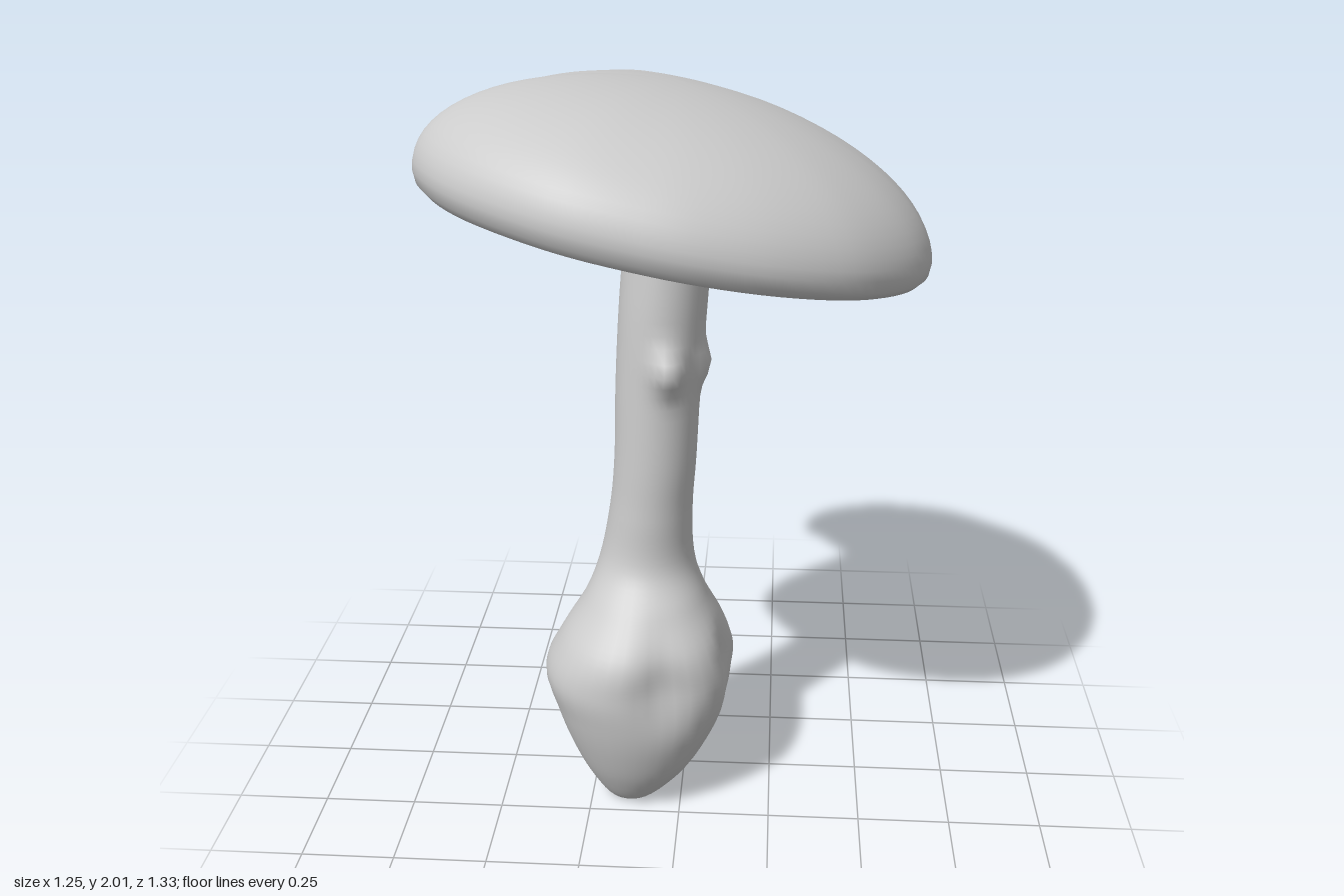
import * as THREE from 'three';

const material = new THREE.MeshStandardMaterial({ color: 0xcccccc, side: THREE.DoubleSide });

// Skin closed rings of points, ordered so that the surface faces outward
function loft(name, rings) {
  const n = rings[0].length, index = [];
  for (let i = 0; i < rings.length - 1; i++) {
    for (let j = 0; j < n; j++) {
      const k = (j + 1) % n;
      const a = i * n + j, b = a + n, c = (i + 1) * n + k, d = i * n + k;
      index.push(a, b, c, a, c, d);
    }
  }
  const geometry = new THREE.BufferGeometry().setFromPoints(rings.flat());
  geometry.setIndex(index);
  geometry.computeVertexNormals();
  const mesh = new THREE.Mesh(geometry, material);
  mesh.name = name;
  return mesh;
}

// Cap rim seen from above (x, z), with a bite taken out of one side
const RIM = [
  [0.625, 0], [0.62, 0.1], [0.58, 0.25], [0.5, 0.39], [0.4, 0.5], [0.24, 0.6], [0.08, 0.65], [-0.05, 0.66],
  [-0.22, 0.64], [-0.36, 0.58], [-0.5, 0.48], [-0.59, 0.36], [-0.63, 0.24], [-0.59, 0.12],
  [-0.48, 0], [-0.37, -0.1], [-0.33, -0.18], [-0.37, -0.29], [-0.4, -0.4], [-0.42, -0.47],
  [-0.4, -0.54], [-0.34, -0.59], [-0.21, -0.645], [-0.09, -0.665], [0.12, -0.65],
  [0.31, -0.56], [0.49, -0.42], [0.58, -0.25], [0.62, -0.1],
];

function makeCap() {
  const curve = new THREE.CatmullRomCurve3(RIM.map(([x, z]) => new THREE.Vector3(x, 0, z)), true);
  const rim = Array.from({ length: 112 }, (_, i) => curve.getPoint(i / 112));
  // Tilted rim plane, with the rear corner of the bite drooping
  const place = (p, s, h) => {
    const x = p.x * s, z = p.z * s;
    const droop = 0.03 * Math.exp(-((x + 0.42) ** 2 + (z + 0.48) ** 2) / 0.015);
    return new THREE.Vector3(x, 1.672 - 0.2 * x + 0.058 * z + h - droop, z);
  };
  // The rim rises where the bite cuts into the dome
  const lift = (r) => 0.28 * Math.max(0, 1 - r / 0.62);
  const dome = (r, s) => 0.305 * Math.sqrt(Math.max(0, 1 - (r * s / Math.max(r, 0.62)) ** 2));

  // Hollow underside and lip as [share of rim radius, height]
  const under = [[0, 0.06], [0.2, 0.05], [0.5, 0.015], [0.75, -0.025], [0.9, -0.05], [0.96, -0.05], [0.99, -0.03]];
  const rings = under.map(([s, h]) => rim.map((p) => place(p, s, h + lift(p.length()) * s ** 3)));
  for (let i = 0; i <= 20; i++) {
    const s = Math.cos((i / 20) * Math.PI / 2);
    rings.push(rim.map((p) => {
      const r = p.length();
      return place(p, s, dome(r, s) - (dome(r, 1) - lift(r)) * s ** 7);
    }));
  }
  return loft('cap', rings);
}

// Stem sections: height, min x, max x, min z, max z
const STEM = [
  [0, -0.16, -0.12, 0.12, 0.16], [0.01, -0.21, -0.07, 0.07, 0.21], [0.1, -0.27, 0.02, 0, 0.27],
  [0.2, -0.32, 0.085, -0.09, 0.31], [0.3, -0.355, 0.13, -0.15, 0.335], [0.4, -0.38, 0.15, -0.185, 0.345],
  [0.5, -0.335, 0.12, -0.16, 0.33], [0.6, -0.27, 0.065, -0.125, 0.25], [0.7, -0.23, 0.03, -0.1, 0.17],
  [0.85, -0.2, 0.025, -0.085, 0.16], [1, -0.185, 0.035, -0.08, 0.16], [1.2, -0.18, 0.045, -0.1, 0.155],
  [1.4, -0.17, 0.06, -0.12, 0.15], [1.6, -0.155, 0.075, -0.125, 0.135], [1.74, -0.15, 0.09, -0.13, 0.135],
];

// Local swellings and dents: angle, height, angular width, height width, amount
const LUMPS = [
  [1.3, 1.27, 0.35, 0.05, 0.05], [-1.3, 1.25, 0.3, 0.03, 0.04], [0.1, 1.26, 0.4, 0.05, 0.025],
  [1.25, 0.43, 0.3, 0.12, -0.04], [0.1, 0.41, 0.25, 0.09, -0.045],
  [-0.5, 0.1, 0.4, 0.06, -0.03], [-2.36, 0.4, 0.5, 0.2, -0.035],
  [2.36, 0.4, 0.5, 0.2, 0.012], [-0.785, 0.4, 0.4, 0.2, 0.02],
];

function makeStem() {
  const smooth = (lo, hi) => new THREE.CatmullRomCurve3(
    STEM.map((s) => new THREE.Vector3(s[lo], s[0], s[hi])), false, 'catmullrom', 0.5);
  const widths = smooth(1, 2), depths = smooth(3, 4);
  const rows = 84, sides = 40;
  const rings = Array.from({ length: rows + 1 }, (_, i) => {
    const { x: x0, y, z: x1 } = widths.getPoint(i / rows);
    const { x: z0, z: z1 } = depths.getPoint(i / rows);
    return Array.from({ length: sides }, (_, j) => {
      const a = (j / sides) * Math.PI * 2;
      let swell = 0;
      for (const [la, ly, wa, wy, amount] of LUMPS) {
        const da = Math.atan2(Math.sin(a - la), Math.cos(a - la));
        swell += amount * Math.exp(-((da / wa) ** 2) - ((y - ly) / wy) ** 2);
      }
      return new THREE.Vector3(
        (x0 + x1) / 2 + ((x1 - x0) / 2 + swell) * Math.cos(a), Math.max(0, y),
        (z0 + z1) / 2 + ((z1 - z0) / 2 + swell) * Math.sin(a));
    });
  });
  // Close the foot
  rings.unshift(rings[0].map(() => new THREE.Vector3(-0.14, 0, 0.14)));
  return loft('stem', rings);
}

export function createModel() {
  const group = new THREE.Group();
  group.name = 'mushroom';
  group.add(makeCap(), makeStem());
  return group;
}
